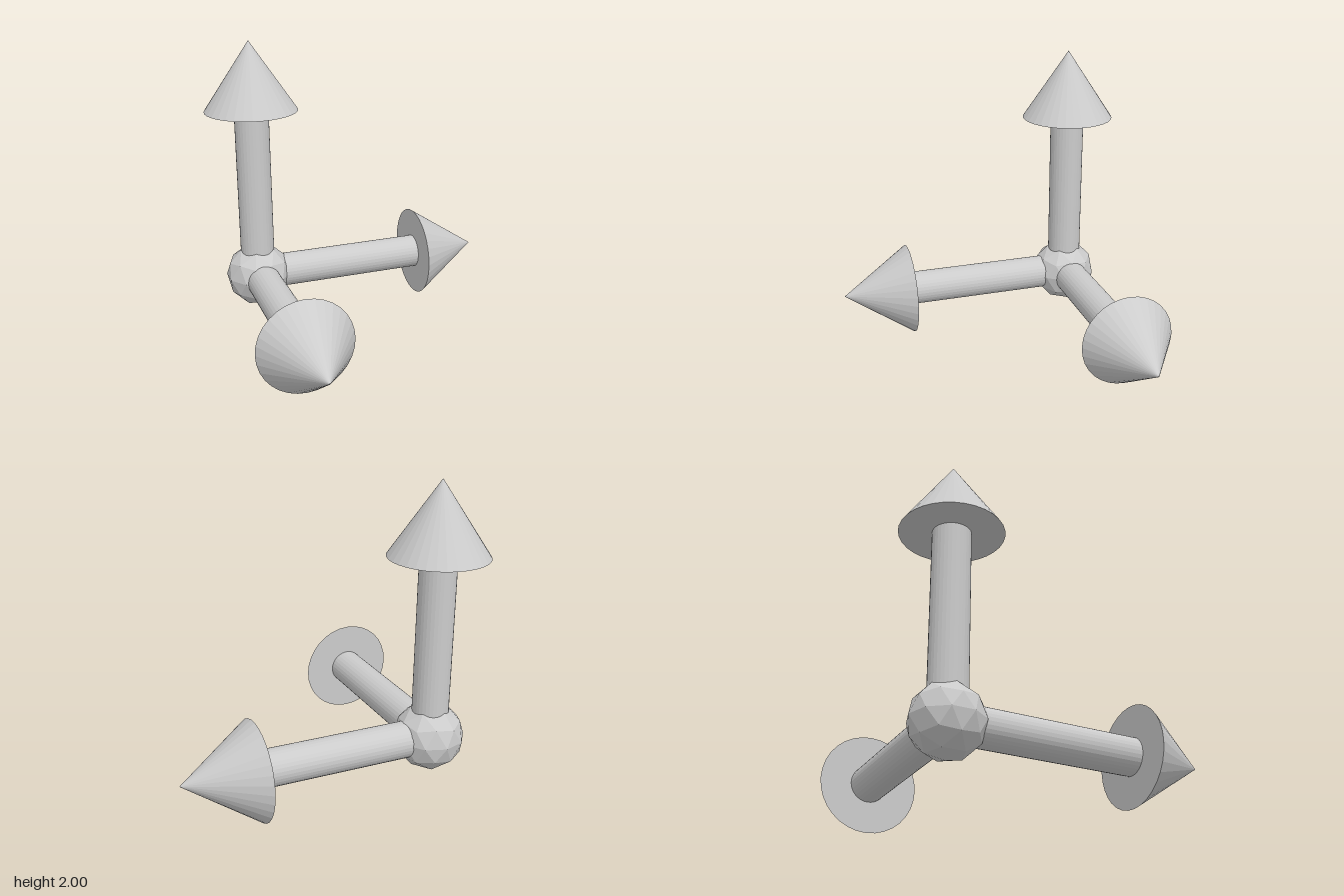
import * as THREE from 'three';

const SIDES = 32;
const SHAFT_LENGTH = 1.2, SHAFT_RADIUS = 0.118;
const HEAD_LENGTH = 0.476, HEAD_RADIUS = 0.319;

const material = new THREE.MeshStandardMaterial({ color: 0xcccccc, flatShading: true });

// One arrow pointing along +y from the origin
function createArrow(name) {
  const arrow = new THREE.Group();
  arrow.name = name;

  const shaft = new THREE.Mesh(
    new THREE.CylinderGeometry(SHAFT_RADIUS, SHAFT_RADIUS, SHAFT_LENGTH, SIDES), material);
  shaft.name = 'shaft';
  shaft.position.y = SHAFT_LENGTH / 2;

  const head = new THREE.Mesh(new THREE.ConeGeometry(HEAD_RADIUS, HEAD_LENGTH, SIDES), material);
  head.name = 'arrowHead';
  head.position.y = SHAFT_LENGTH + HEAD_LENGTH / 2;

  arrow.add(shaft, head);
  return arrow;
}

export function createModel() {
  const model = new THREE.Group();
  model.name = 'axisArrows';

  // Everything meets at the corner joint
  const joint = new THREE.Group();
  joint.name = 'joint';
  joint.position.set(-0.678, 0.324, -0.679);
  model.add(joint);

  // Faceted ball, turned so a vertex points straight up
  const ballGeometry = new THREE.IcosahedronGeometry(0.226, 1);
  ballGeometry.rotateZ(-Math.atan(2 / (1 + Math.sqrt(5)))).rotateY(Math.PI);
  const ball = new THREE.Mesh(ballGeometry, material);
  ball.name = 'centreBall';
  joint.add(ball);

  // Three arrows at right angles
  const upArrow = createArrow('upArrow');
  const sideArrow = createArrow('sideArrow');
  sideArrow.rotation.z = -Math.PI / 2;
  const frontArrow = createArrow('frontArrow');
  frontArrow.rotation.x = Math.PI / 2;
  joint.add(upArrow, sideArrow, frontArrow);

  return model;
}
